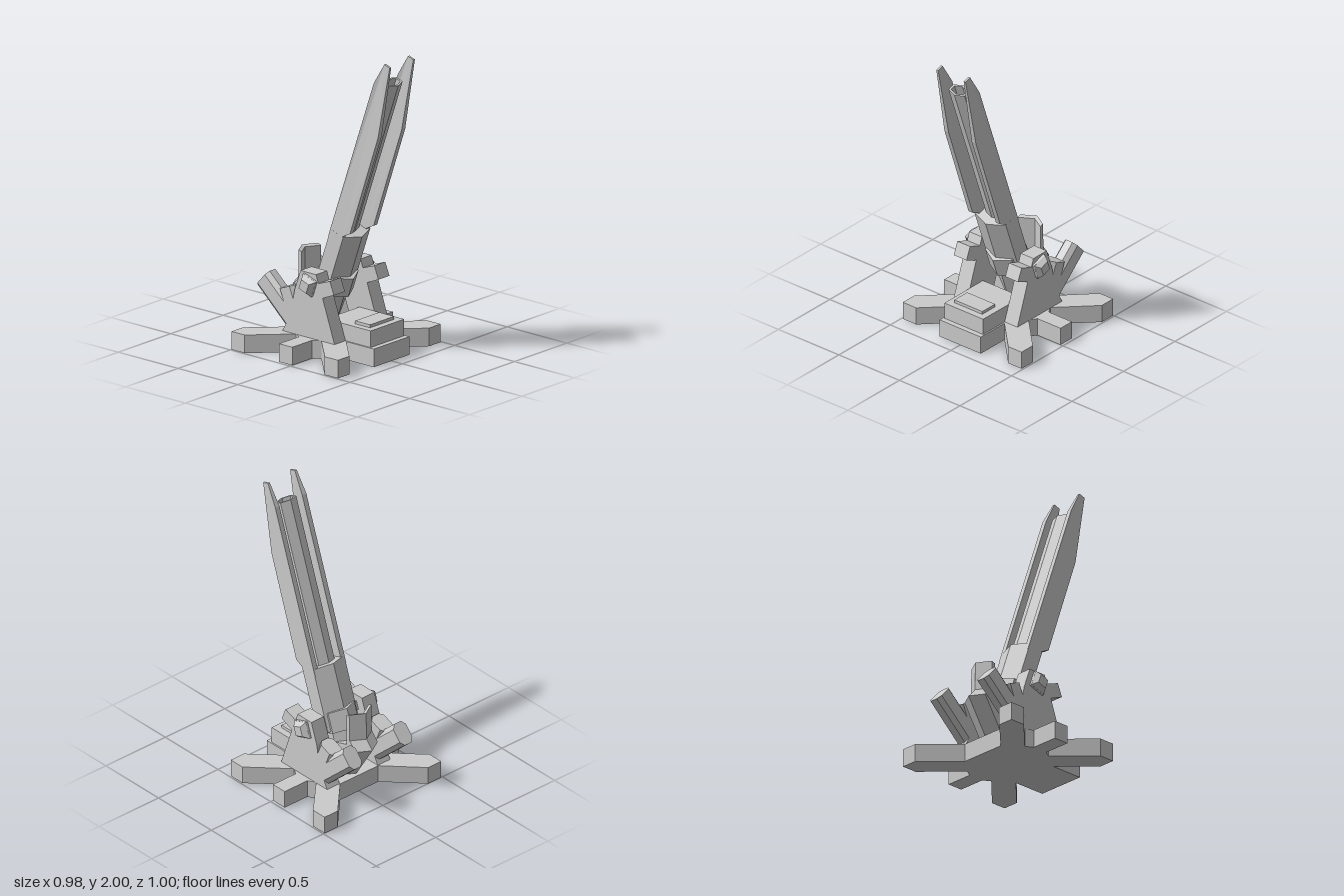
import * as THREE from 'three';

const material = new THREE.MeshStandardMaterial({ color: 0xcccccc, flatShading: true, side: THREE.DoubleSide });

function add(parent, name, geometry, x = 0, y = 0, z = 0, rx = 0) {
  const mesh = new THREE.Mesh(geometry, material);
  mesh.name = name;
  mesh.position.set(x, y, z);
  mesh.rotation.x = rx;
  parent.add(mesh);
  return mesh;
}

const outline = (pts) => pts.map(([a, b]) => new THREE.Vector2(a, b));

// Plan outline of (x, z) points raised from y0 to y1, with an optional hole
function prism(pts, y0, y1, hole) {
  const flip = (p) => outline(p.map(([x, z]) => [x, -z]));
  const shape = new THREE.Shape(flip(pts));
  if (hole) shape.holes.push(new THREE.Path(flip(hole)));
  return new THREE.ExtrudeGeometry(shape, { depth: y1 - y0, bevelEnabled: false })
    .rotateX(-Math.PI / 2).translate(0, y0, 0);
}

// Side outline of (z, y) points, given a width centred on x = 0
function slab(pts, width, steps = 1) {
  return new THREE.ExtrudeGeometry(new THREE.Shape(outline(pts)), { depth: width, steps, bevelEnabled: false })
    .translate(0, 0, -width / 2).rotateY(-Math.PI / 2);
}

// Six-sided section with ridges at front and back
const hex = (x, edge, ridge, v = 0) => [
  [x, v + edge], [0, v + ridge], [-x, v + edge], [-x, v - edge], [0, v - ridge], [x, v - edge],
];

// Rectangle with cut corners
const cutRect = (x, z, cx, cz) => [
  [x, z - cz], [x - cx, z], [cx - x, z], [-x, z - cz],
  [-x, cz - z], [cx - x, -z], [x - cx, -z], [x, cz - z],
];

// Move vertices by a rule
function warp(geometry, rule) {
  const p = geometry.attributes.position;
  const v = new THREE.Vector3();
  for (let i = 0; i < p.count; i++) {
    rule(v.fromBufferAttribute(p, i));
    p.setXYZ(i, v.x, v.y, v.z);
  }
  geometry.computeVertexNormals();
  return geometry;
}

export function createModel() {
  const model = new THREE.Group();
  model.name = 'turret';

  // Footed base plate
  const half = [
    [0.17, 0.41], [0.17, 0.18], [0.155, 0.165], [0.38, 0.39], [0.49, 0.39], [0.49, 0.28],
    [0.26, 0.05], [0.29, 0], [0.48, 0], [0.48, -0.11], [0.29, -0.11], [0.26, -0.16],
    [0.49, -0.39], [0.49, -0.5], [0.38, -0.5], [0.16, -0.275],
  ];
  const mirrored = half.map(([x, z]) => [-x, z]).reverse();
  add(model, 'basePlate', prism([...half, ...mirrored], 0, 0.12));

  // Front housing and its lid
  add(model, 'frontHousing', new THREE.BoxGeometry(0.32, 0.11, 0.375), 0, 0.175, 0.1875);
  add(model, 'housingLid', new THREE.BoxGeometry(0.23, 0.02, 0.125), 0, 0.24, 0.268);

  // Rear ridged shield
  const shield = slab([
    [-0.34, 0.61], [-0.345, 0.42], [-0.4, 0.36], [-0.25, 0.12], [-0.05, 0.12],
    [-0.12, 0.32], [-0.315, 0.38], [-0.315, 0.6],
  ], 0.186, 2);
  add(model, 'rearShield', warp(shield, (v) => { v.z += 0.59 * Math.abs(v.x); }));

  const tilt = 0.336;
  const pivot = [0.47, -0.05];
  for (const side of [1, -1]) {
    // Cradle arm with two chamfered rear posts
    const cradle = new THREE.Group();
    cradle.name = side > 0 ? 'leftCradle' : 'rightCradle';
    cradle.position.x = side * 0.2125;
    model.add(cradle);
    add(cradle, 'cradleArm', slab([
      [0.165, 0.12], [0.065, 0.405], [0.16, 0.445], [0.125, 0.53], [0.03, 0.495], [0.01, 0.55],
      [-0.12, 0.55], [-0.17, 0.41], [-0.2, 0.25], [-0.27, 0.12],
    ], 0.105));
    add(cradle, 'rearPost', prism(cutRect(0.0525, 0.075, 0.025, 0.03), -0.34, 0), 0, 0.425, -0.45, -0.835);
    add(cradle, 'middlePost', prism(cutRect(0.0525, 0.0675, 0.025, 0.025), -0.2, 0), 0, 0.41, -0.2525, -0.38);

    // Pivot axle and tapered square cap
    add(model, 'pivotAxle', new THREE.BoxGeometry(0.17, 0.06, 0.06), side * 0.195, ...pivot, tilt);
    const r = Math.SQRT2;
    const cap = new THREE.CylinderGeometry(0.033 * r, 0.056 * r, 0.035, 4).rotateY(Math.PI / 4)
      .translate(0, 0.0325, 0).rotateZ(-side * Math.PI / 2);
    add(model, 'pivotCap', cap, side * 0.265, ...pivot, tilt);
    add(model, 'pivotCapRim', new THREE.BoxGeometry(0.02, 0.112, 0.112), side * 0.271, ...pivot, tilt);
  }

  // Tilted gun, built upright around the pivot
  const gun = new THREE.Group();
  gun.name = 'gun';
  gun.position.set(0, ...pivot);
  gun.rotation.x = tilt;
  model.add(gun);
  add(gun, 'gunTail', prism(hex(0.093, 0.05, 0.1), -0.34, -0.08));
  add(gun, 'gunCollar', prism(hex(0.11, 0.075, 0.133), -0.087, 0.05));
  add(gun, 'gunSleeve', prism(hex(0.13, 0.055, 0.103), -0.075, 0.352));
  add(gun, 'barrel', prism(hex(0.066, 0.025, 0.048, -0.01), 0.3, 1.457, hex(0.052, 0.018, 0.036, -0.01)));

  // Side rails, thinner toward the tip
  for (const side of [1, -1]) {
    const rail = slab([
      [-0.058, 0.3], [0.05, 0.3], [0.05, 0.357], [0.097, 0.405], [0.093, 1.129],
      [0.019, 1.612], [-0.028, 1.611], [-0.058, 1.452],
    ], 0.034);
    warp(rail, (v) => { if (v.y > 1.5) v.x *= 0.45; });
    add(gun, side > 0 ? 'leftRail' : 'rightRail', rail, side * 0.113);
  }
  return model;
}
